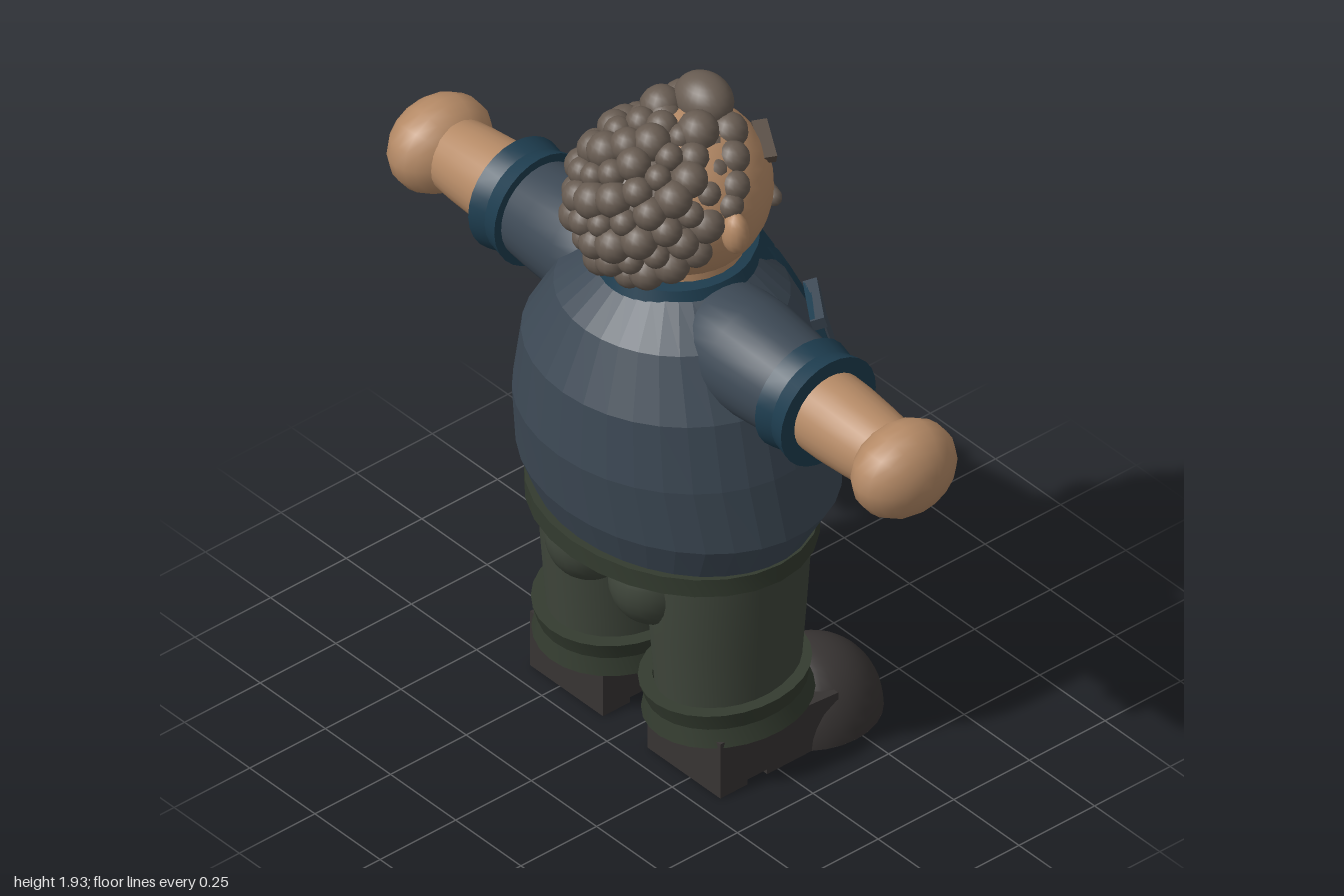
import * as THREE from 'three';
import { toCreasedNormals } from 'three/addons/utils/BufferGeometryUtils.js';
import { ParametricGeometry } from 'three/addons/geometries/ParametricGeometry.js';

const mat = (color) => new THREE.MeshStandardMaterial({ color, side: THREE.DoubleSide });
const skin = mat(0xb58a66), noseSkin = mat(0xa56c40), hairMat = mat(0x685c52), browMat = mat(0x574b42);
const black = mat(0x111111), shirt = mat(0x3d4955), trim = mat(0x1d3c4e), vest = mat(0x6c6b66);
const cloth = mat(0x3f463b), hem = mat(0x333b2f), leather = mat(0x383433);

function add(parent, name, geo, material, pos = [0, 0, 0], scale = [1, 1, 1]) {
  const m = new THREE.Mesh(geo, material);
  m.name = name;
  m.position.set(...pos);
  m.scale.set(...scale);
  parent.add(m);
  return m;
}
const ball = (parent, name, material, pos, scale, w = 24, h = 16) =>
  add(parent, name, new THREE.SphereGeometry(1, w, h), material, pos, scale);
const lathe = (pts, crease = 0.6) =>
  toCreasedNormals(new THREE.LatheGeometry(pts.map((p) => new THREE.Vector2(...p)), 28), crease);

// Torso cross-sections: height, centre x, radius along x, radius along z
const sections = [
  [0.66, -0.035, 0.3, 0.395], [0.79, -0.012, 0.372, 0.457], [0.98, -0.03, 0.382, 0.435],
  [1.17, -0.035, 0.362, 0.4], [1.33, -0.035, 0.288, 0.31], [1.42, -0.015, 0.2, 0.21],
];
const sectionAt = (v) => sections[Math.round(v * (sections.length - 1))];
function onTorso([y, cx, rx, rz], angle, offset, target) {
  target.set(cx + (rx + offset) * Math.cos(angle), y, -(rz + offset) * Math.sin(angle));
}
// Surface over the torso between two angles given as functions of the section
function torsoPatch(from, to, offset, slices) {
  return new ParametricGeometry((u, v, t) => {
    const s = sectionAt(v);
    onTorso(s, from(s) + (to(s) - from(s)) * u, offset, t);
  }, slices, sections.length - 1);
}

function addTorso(g) {
  const edge = (s) => Math.asin(0.09 / s[3]);
  add(g, 'shirt', torsoPatch(edge, (s) => 2 * Math.PI - edge(s), 0, 32), shirt);
  add(g, 'undershirt', torsoPatch((s) => -edge(s), edge, -0.006, 6), vest);
  // Raised bands down both sides of the shirt opening
  for (const side of [-1, 1]) {
    const profile = [[0.064, -0.015], [0.064, 0.014], [0.13, 0.014], [0.13, -0.015]];
    const geo = new ParametricGeometry((u, v, t) => {
      const s = sectionAt(v), [z, off] = profile[Math.round(u * 3)];
      const taper = v > 0.9 ? 0.78 : 1;
      onTorso(s, side * Math.asin((z * taper) / s[3]), off, t);
    }, 3, sections.length - 1);
    add(g, side < 0 ? 'rightShirtBand' : 'leftShirtBand', toCreasedNormals(geo, 0.6), trim);
  }
  // Collar, open at the front with two hanging points
  const collar = new ParametricGeometry((u, v, t) => {
    const a = 0.26 + u * (2 * Math.PI - 0.52);
    const point = Math.max(0, 1 - Math.min(u, 1 - u) * 9);
    const r = [0.225 + 0.045 * point, 0.2 + 0.02 * point, 0.16][Math.round(v * 2)];
    const y = [1.38 - 0.025 * point, 1.445, 1.45][Math.round(v * 2)];
    t.set(-0.015 + r * Math.cos(a), y, -r * 0.95 * Math.sin(a));
  }, 36, 2);
  add(g, 'collar', toCreasedNormals(collar, 0.6), trim);
  add(g, 'neck', new THREE.CylinderGeometry(0.16, 0.17, 0.14, 24), skin, [-0.01, 1.44, 0]);

  // Chest pocket with flap, laid against the chest
  const pocket = new THREE.Group();
  pocket.name = 'chestPocket';
  const panel = (name, pts, depth, material) => add(pocket, name,
    new THREE.ExtrudeGeometry(new THREE.Shape(pts.map((p) => new THREE.Vector2(...p))),
      { depth, bevelEnabled: false }), material);
  panel('pocketRim', [[-0.078, 0.1], [-0.07, -0.08], [0, -0.11], [0.07, -0.08], [0.078, 0.1]], 0.026, trim);
  panel('pocketPanel', [[-0.066, 0.08], [-0.059, -0.073], [0, -0.098], [0.059, -0.073], [0.066, 0.08]], 0.031, shirt);
  panel('pocketFlap', [[-0.084, 0.1], [-0.08, 0.065], [0, 0.04], [0.08, 0.065], [0.084, 0.1]], 0.037, shirt);
  pocket.position.set(0.255, 1.165, 0.22);
  pocket.lookAt(0.255 + 2.2, 1.165 + 0.75, 0.22 + 1.5);
  g.add(pocket);
}

function addArm(g, side) {
  const arm = new THREE.Group();
  arm.name = side < 0 ? 'leftArm' : 'rightArm';
  arm.position.set(-0.035, 1.295, 0);
  arm.rotation.x = side * (Math.PI / 2 + 0.035);
  add(arm, 'sleeve', lathe([[0.1, 0.08], [0.148, 0.2], [0.153, 0.3], [0.143, 0.42], [0.132, 0.52]], 1), shirt);
  add(arm, 'sleeveCuff', lathe([[0.12, 0.5], [0.157, 0.5], [0.146, 0.55], [0.157, 0.6], [0.105, 0.6]], 0.3), trim);
  add(arm, 'forearm', lathe([[0.113, 0.56], [0.112, 0.66], [0.105, 0.76], [0.095, 0.85]], 1), skin);
  ball(arm, 'hand', skin, [0, 0.89, 0], [0.15, 0.11, 0.13], 16, 12);
  g.add(arm);
}

function addLeg(g, side) {
  const leg = new THREE.Group();
  leg.name = side < 0 ? 'leftLeg' : 'rightLeg';
  leg.position.z = side * 0.207;
  add(leg, 'trouserLeg', lathe([[0.195, 0.2], [0.212, 0.42], [0.224, 0.6], [0.225, 0.68]], 1), cloth, [-0.03, 0, 0], [1, 1, 0.84]);
  const cuff = add(leg, 'trouserCuff', lathe([[0.16, -0.05], [0.228, -0.05], [0.215, 0], [0.228, 0.05], [0.19, 0.05]], 0.3),
    hem, [-0.033, 0.205, 0], [1, 1, 0.91]);
  cuff.rotation.set(side * -0.05, 0, 0.06);
  ball(leg, 'seat', cloth, [-0.19, 0.57, side * -0.085], [0.13, 0.135, 0.115]);
  // Shoe: rounded toe cap and a straight body with a notched sole
  add(leg, 'shoeToe', new THREE.SphereGeometry(1, 28, 10, 0, Math.PI * 2, 0, Math.PI / 2), leather,
    [0.228, 0, side * 0.018], [0.19, 0.2, 0.177]);
  add(leg, 'toeSole', new THREE.CircleGeometry(1, 28), leather, [0.228, 0.001, side * 0.018], [0.19, 0.177, 1]).rotation.x = Math.PI / 2;
  const profile = [[-0.19, 0], [-0.1, 0], [-0.1, 0.015], [-0.035, 0.015], [-0.035, 0], [0.2, 0], [0.2, 0.14], [-0.19, 0.17]];
  add(leg, 'shoeBody', new THREE.ExtrudeGeometry(new THREE.Shape(profile.map((p) => new THREE.Vector2(...p))),
    { depth: 0.28, bevelEnabled: false }), leather, [0, 0, side * 0.018 - 0.14]);
  g.add(leg);
}

function addHead(g) {
  const head = new THREE.Group();
  head.name = 'head';
  ball(head, 'skull', skin, [0, 1.625, 0], [0.232, 0.232, 0.226], 32, 24);
  ball(head, 'nose', noseSkin, [0.2, 1.637, 0], [0.06, 0.064, 0.062]);
  for (const s of [-1, 1]) {
    const side = s < 0 ? 'left' : 'right';
    ball(head, side + 'Ear', skin, [-0.03, 1.625, s * 0.237], [0.034, 0.06, 0.038], 14, 10);
    ball(head, side + 'Eye', black, [0.195, 1.677, s * 0.085], [0.022, 0.045, 0.024], 14, 10);
    const brow = add(head, side + 'Eyebrow', new THREE.BoxGeometry(0.04, 0.03, 0.11), browMat, [0.178, 1.735, s * 0.105]);
    brow.rotation.set(s * 0.42, s * -0.45, 0, 'YXZ');
    // Moustache curls, sweeping from the middle to the cheek
    for (let i = 0; i < 5; i++) {
      const z = 0.018 + i * 0.032, r = 0.033 - i * 0.002;
      ball(head, side + 'MoustacheCurl', hairMat,
        [0.218 - z * z * 2.1, 1.578 - 0.02 * Math.sin(i * 0.9), s * z], [r * 0.9, r, r], 12, 8);
    }
  }
  // Curly hair: balls spread over a shell behind the hairline
  const hair = new THREE.Group();
  hair.name = 'curlyHair';
  ball(hair, 'hairBase', hairMat, [-0.105, 1.635, 0], [0.185, 0.19, 0.19]);
  const curl = new THREE.SphereGeometry(1, 14, 10), n = 115;
  for (let i = 0; i < n; i++) {
    const c = 1 - (2 * (i + 0.5)) / n, a = i * 2.39996, w = Math.sqrt(1 - c * c);
    const x = -0.095 + 0.2 * w * Math.cos(a), y = 1.64 + 0.205 * c, z = 0.192 * w * Math.sin(a);
    if (y < 1.47 || y < 1.665 + 1.1 * x) continue;
    const r = 0.042 + 0.008 * Math.sin(i * 1.7);
    add(hair, 'curl', curl, hairMat, [x, y, z], [r, r, r]);
  }
  // Forelock and the curls along the temples
  ball(hair, 'forelock', hairMat, [0.07, 1.862, 0], [0.07, 0.07, 0.085]);
  for (const s of [-1, 1])
    for (const [x, y, z, r] of [[0.075, 1.81, 0.09, 0.05], [0.04, 1.775, 0.145, 0.045], [0.01, 1.725, 0.185, 0.042], [-0.02, 1.69, 0.205, 0.036], [-0.01, 1.84, 0.07, 0.055]])
      add(hair, 'curl', curl, hairMat, [x, y, s * z], [r, r, r]);
  head.add(hair);
  g.add(head);
}

export function createModel() {
  const g = new THREE.Group();
  g.name = 'curlyHairedMan';
  addTorso(g);
  // Waist
  add(g, 'waistband', lathe([[0, 0.637], [0.333, 0.637], [0.333, 0.69], [0.28, 0.69]], 0.3), hem, [-0.035, 0, 0], [1, 1, 1.255]);
  ball(g, 'pelvis', cloth, [-0.03, 0.64, 0], [0.25, 0.1, 0.3]);
  for (const side of [-1, 1]) {
    addArm(g, side);
    addLeg(g, side);
  }
  addHead(g);
  return g;
}
